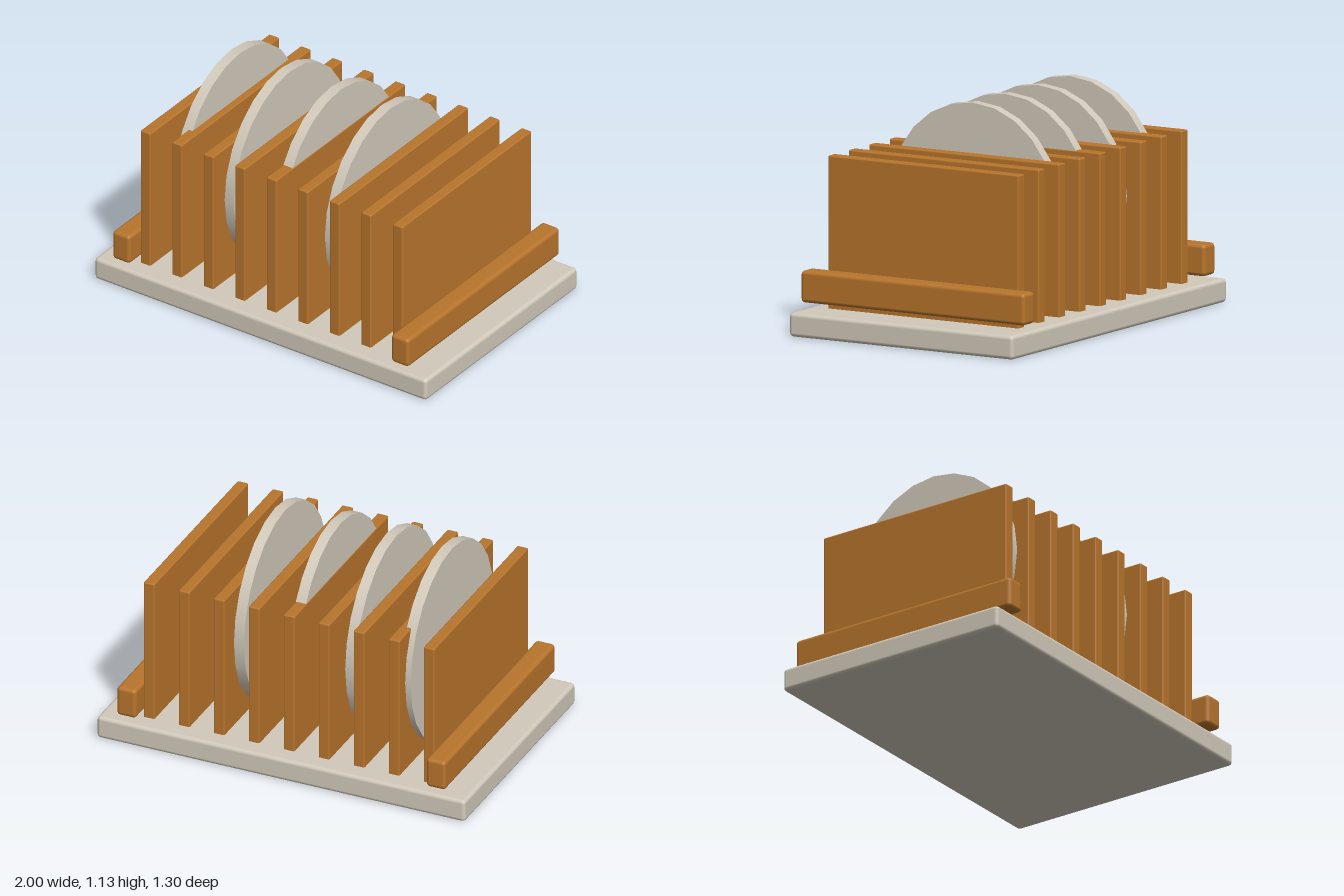
import * as THREE from 'three';
import { RoundedBoxGeometry } from 'three/addons/geometries/RoundedBoxGeometry.js';

export function createModel() {
  const group = new THREE.Group();
  group.name = 'plateRack';

  const wood = new THREE.MeshStandardMaterial({ color: 0xb8752c });
  wood.name = 'warm wood';
  const ceramic = new THREE.MeshStandardMaterial({ color: 0xd2cabb });
  ceramic.name = 'pale ceramic';

  const add = (name, geometry, material, x, y, z = 0) => {
    const mesh = new THREE.Mesh(geometry, material);
    mesh.name = name;
    mesh.position.set(x, y, z);
    group.add(mesh);
    return mesh;
  };

  // Base tray
  add('base', new RoundedBoxGeometry(2, 0.12, 1.3, 2, 0.02), ceramic, 0, 0.06);

  // Nine upright dividers, set slightly into the base
  const dividerGeometry = new RoundedBoxGeometry(0.06, 0.785, 1.106, 2, 0.008);
  for (let i = -4; i <= 4; i++) {
    add(`divider${i + 5}`, dividerGeometry, wood, i * 0.19, 0.4925);
  }

  // Side rails
  const railGeometry = new RoundedBoxGeometry(0.106, 0.16, 1.3, 2, 0.02);
  add('leftRail', railGeometry, wood, 0.84, 0.235);
  add('rightRail', railGeometry, wood, -0.84, 0.235);

  // Plates: thin upright discs, slightly taller than wide
  const plateGeometry = new THREE.CylinderGeometry(1, 1, 0.055, 24);
  plateGeometry.rotateZ(Math.PI / 2);
  plateGeometry.scale(1, 0.52, 0.485);
  [-0.603, -0.302, 0, 0.302].forEach((x, i) => {
    add(`plate${i + 1}`, plateGeometry, ceramic, x, 0.612);
  });

  return group;
}
